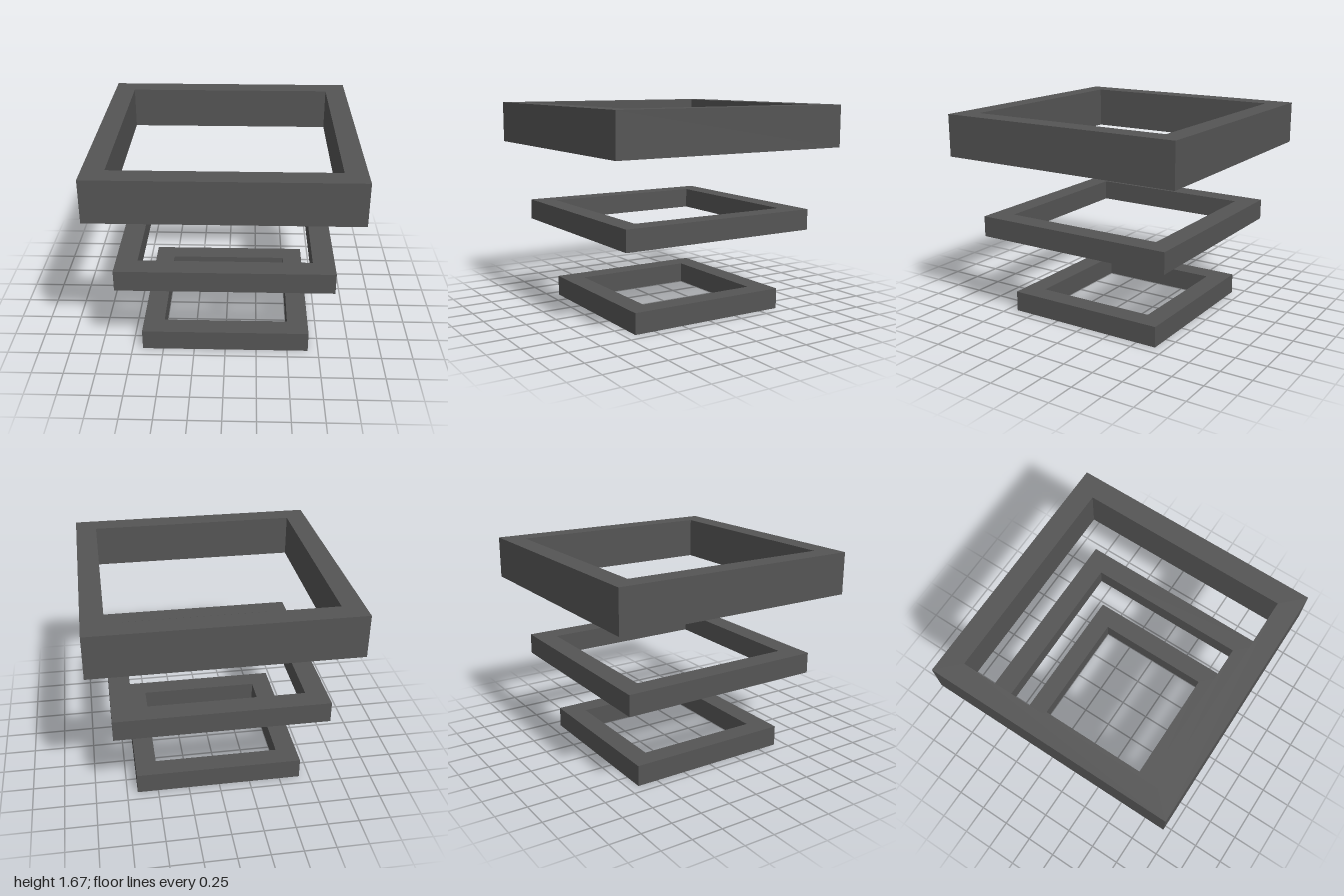
import * as THREE from 'three';

// Square frame: outer and inner half-widths, bottom height and thickness
function squareFrame(name, outer, inner, bottom, height, material) {
  const corners = (h) => [[-h, -h], [h, -h], [h, h], [-h, h]].map(([x, y]) => new THREE.Vector2(x, y));
  const shape = new THREE.Shape(corners(outer));
  shape.holes.push(new THREE.Path(corners(inner).reverse()));
  const geometry = new THREE.ExtrudeGeometry(shape, { depth: height, bevelEnabled: false });
  geometry.rotateX(-Math.PI / 2).translate(0, bottom, 0);
  const mesh = new THREE.Mesh(geometry, material);
  mesh.name = name;
  return mesh;
}

export function createModel() {
  const darkGrey = new THREE.MeshStandardMaterial({ color: 0x555555 });
  darkGrey.name = 'darkGrey';

  // Three floating frames, widening upwards; the top one is twice as tall
  const unit = 1 / 6;
  const model = new THREE.Group();
  model.name = 'stackedFrames';
  model.add(
    squareFrame('bottomFrame', 4 * unit, 3 * unit, 0, unit, darkGrey),
    squareFrame('middleFrame', 5 * unit, 4 * unit, 4 * unit, unit, darkGrey),
    squareFrame('topFrame', 6 * unit, 5 * unit, 8 * unit, 2 * unit, darkGrey),
  );
  return model;
}
